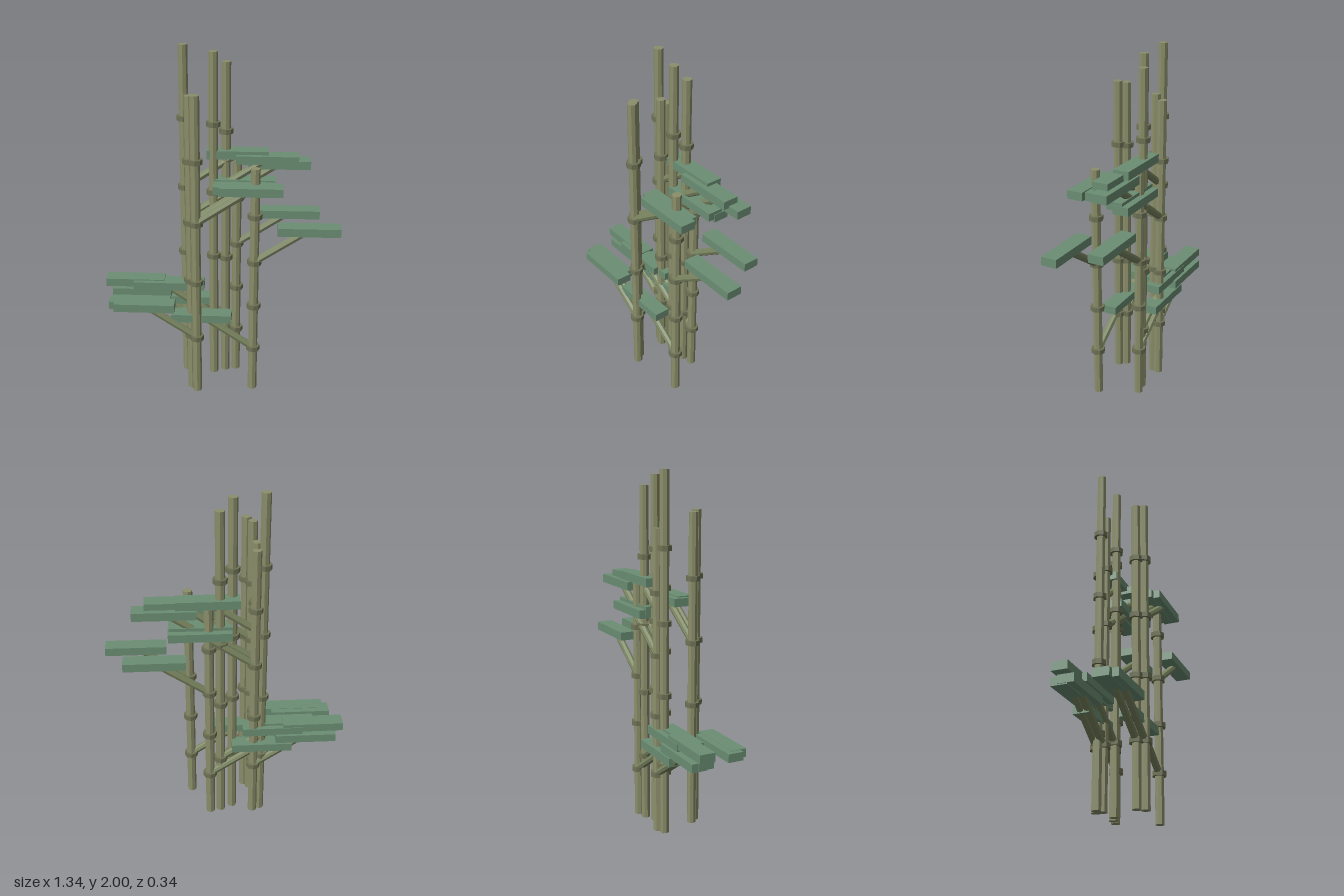
import * as THREE from 'three';

const material = (color) => new THREE.MeshStandardMaterial({ color, flatShading: true });

export function createModel() {
  const group = new THREE.Group();
  group.name = 'bambooCluster';

  const stalkMat = material(0x8b8f6a);
  const ringMat = material(0x6f7355);
  const branchMat = material(0x7a8560);
  const leafMat = material(0x6b8e73);

  const SIDES = 8;
  const REACH = 0.298, RISE = 0.2; // leaf centre relative to its joint
  const ringGeo = new THREE.CylinderGeometry(0.04, 0.04, 0.028, SIDES);
  const branchGeo = new THREE.CylinderGeometry(0.021, 0.021, Math.hypot(REACH, RISE), SIDES);
  const leafGeo = new THREE.BoxGeometry(0.344, 0.047, 0.09);

  const add = (parent, name, geometry, mat, x, y, z) => {
    const mesh = new THREE.Mesh(geometry, mat);
    mesh.name = name;
    mesh.position.set(x, y, z);
    parent.add(mesh);
    return mesh;
  };

  // Each stalk: x, z, height
  const stalks = [
    [-0.2, -0.109, 2.0],
    [-0.036, -0.081, 1.97],
    [0.032, -0.113, 1.91],
    [0.094, -0.127, 1.41],
    [-0.157, -0.13, 1.7],
    [-0.161, -0.092, 1.73],
    [-0.154, 0.088, 1.775],
    [-0.122, 0.124, 1.785],
    [0.2, 0.083, 1.38],
  ];

  for (const [x, z, h] of stalks) {
    const plant = new THREE.Group();
    plant.name = 'bambooPlant';
    plant.position.set(x, 0, z);
    group.add(plant);

    add(plant, 'stalk', new THREE.CylinderGeometry(0.026, 0.026, h, SIDES), stalkMat, 0, h / 2, 0);

    // Joint rings divide the stalk into five equal segments
    for (let i = 1; i < 5; i++) add(plant, 'jointRing', ringGeo, ringMat, 0, (h * i) / 5, 0);

    // A branch with a leaf to -x at the first joint and to +x at the third
    for (const [joint, side] of [[1, -1], [3, 1]]) {
      const y = (h * joint) / 5;
      const branch = add(plant, 'branch', branchGeo, branchMat, (side * REACH) / 2, y + RISE / 2, 0);
      branch.rotation.z = -side * Math.atan2(REACH, RISE);
      add(plant, 'leaf', leafGeo, leafMat, side * REACH, y + RISE, 0);
    }
  }
  return group;
}
